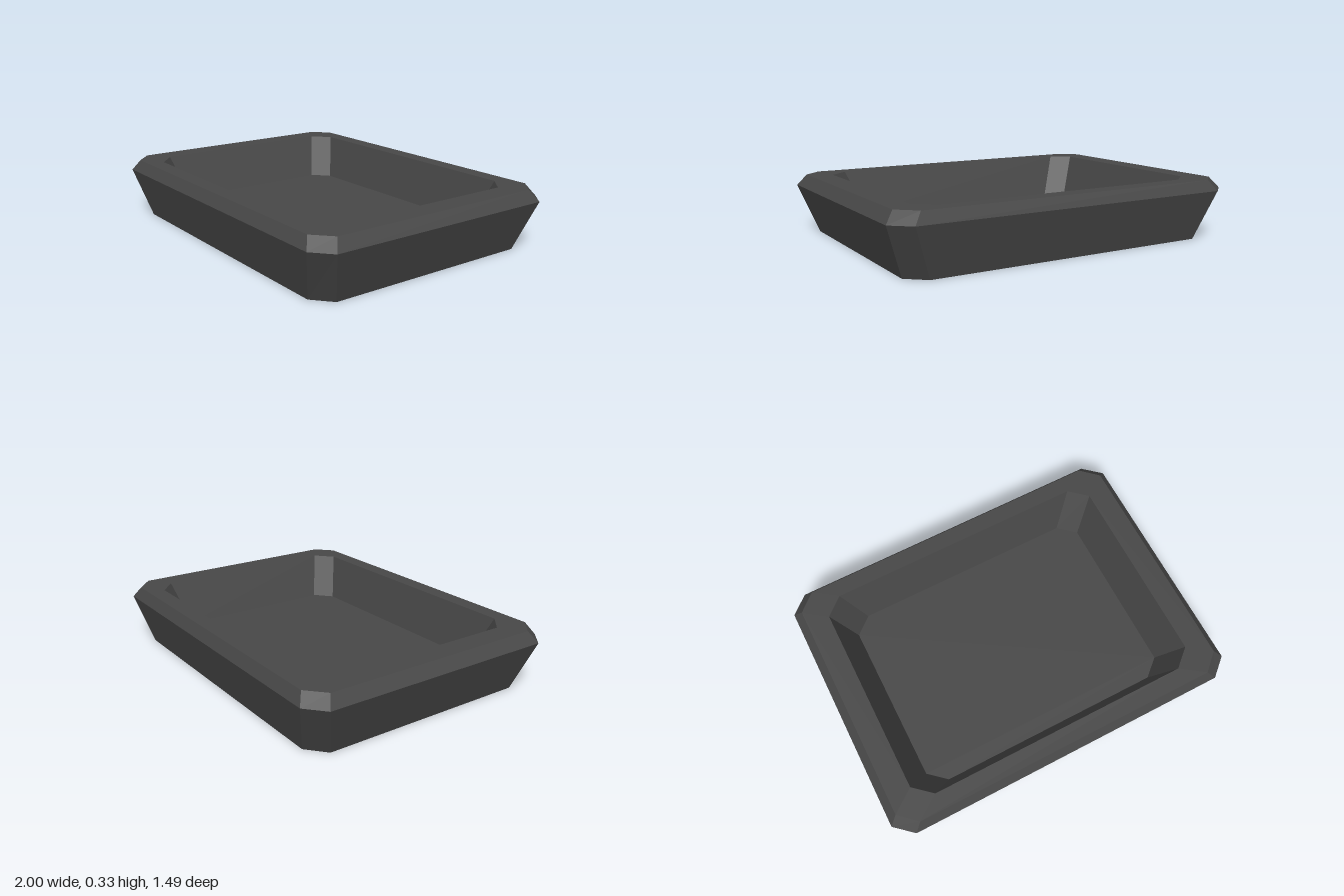
import * as THREE from 'three';

// Chamfered-rectangle ring, counterclockwise seen from above.
// hx, hz: half sizes; cx, cz: where the straight sides end.
function ring(y, hx, hz, cx, cz) {
  return [
    [hx, cz], [hx, -cz], [cx, -hz], [-cx, -hz],
    [-hx, -cz], [-hx, cz], [-cx, hz], [cx, hz],
  ].map(([x, z]) => new THREE.Vector3(x, y, z));
}

// Skin successive rings, optionally closing the first (facing down) or last (facing up).
function skin(rings, { capFirst = false, capLast = false } = {}) {
  const pts = [];
  for (let r = 0; r < rings.length - 1; r++) {
    const a = rings[r], b = rings[r + 1];
    for (let i = 0; i < a.length; i++) {
      const j = (i + 1) % a.length;
      pts.push(a[i], a[j], b[j], a[i], b[j], b[i]);
    }
  }
  const first = rings[0], last = rings[rings.length - 1];
  for (let i = 1; i < first.length - 1; i++) {
    if (capFirst) pts.push(first[0], first[i + 1], first[i]);
    if (capLast) pts.push(last[0], last[i], last[i + 1]);
  }
  const geometry = new THREE.BufferGeometry().setFromPoints(pts);
  geometry.computeVertexNormals();
  return geometry;
}

export function createModel() {
  const group = new THREE.Group();
  group.name = 'tray';
  const charcoal = new THREE.MeshStandardMaterial({ color: 0x474747, flatShading: true });
  charcoal.name = 'charcoal';

  const base = ring(0, 0.9, 0.67, 0.8, 0.583);
  const shoulder = ring(0.27, 1, 0.745, 0.9, 0.657);
  const rimOuter = ring(0.33, 0.953, 0.71, 0.857, 0.622);
  const rimInner = ring(0.33, 0.828, 0.618, 0.728, 0.53);
  const floor = ring(0.09, 0.727, 0.54, 0.63, 0.455);

  const add = (name, geometry) => {
    const mesh = new THREE.Mesh(geometry, charcoal);
    mesh.name = name;
    group.add(mesh);
  };

  // Flared outer walls, bevelled edge and underside
  add('outerShell', skin([base, shoulder, rimOuter], { capFirst: true }));
  // Flat top border
  add('rim', skin([rimOuter, rimInner]));
  // Sloped inner walls and floor
  add('basin', skin([rimInner, floor], { capLast: true }));

  return group;
}
